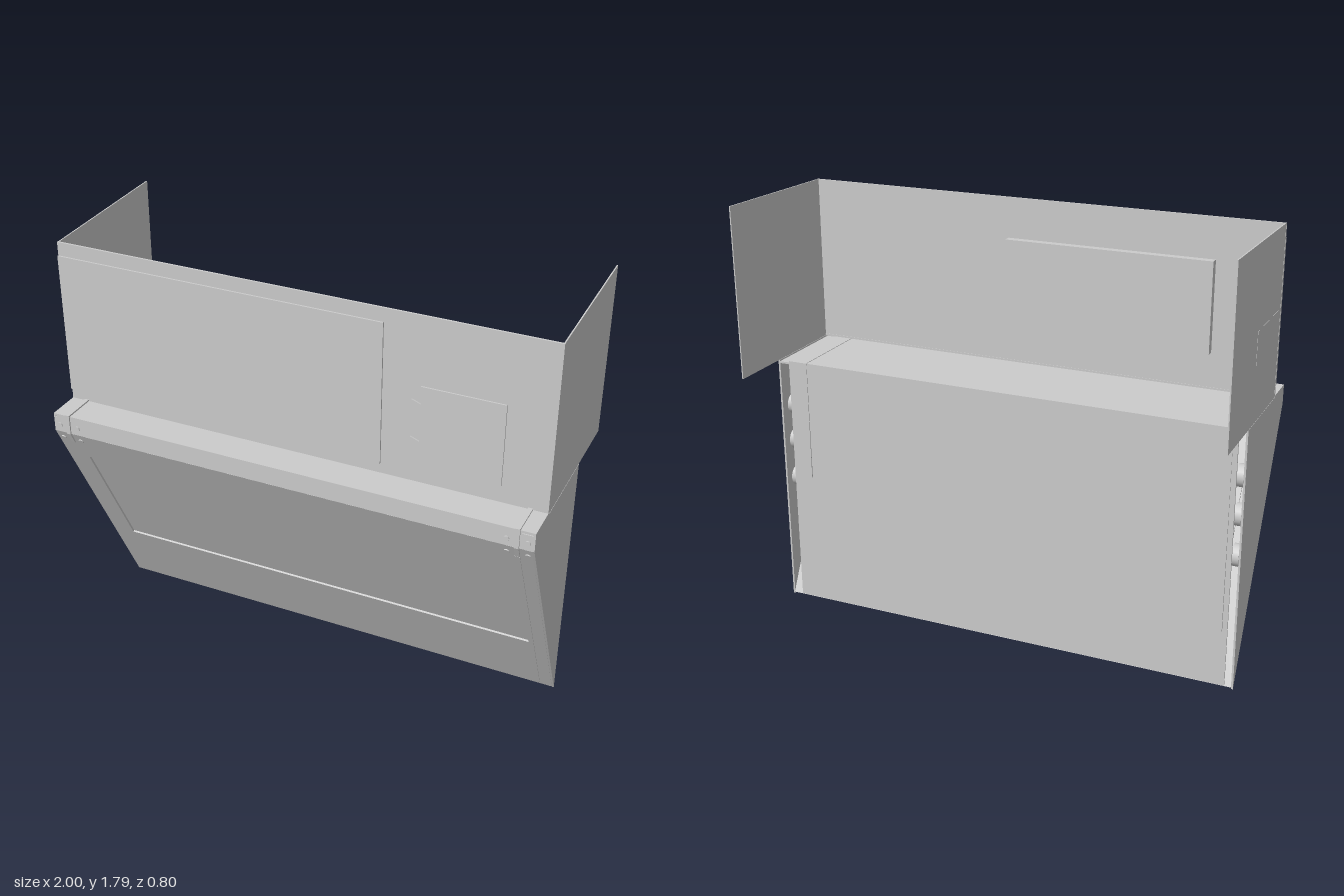
import * as THREE from 'three';

export function createModel() {
  const model = new THREE.Group();
  const mat = new THREE.MeshStandardMaterial({ color: 0xcccccc, side: THREE.DoubleSide });

  const add = (name, geo, parent = model) => {
    const mesh = new THREE.Mesh(geo, mat);
    mesh.name = name;
    parent.add(mesh);
    return mesh;
  };
  // box given by its limits on each axis
  const box = (name, x0, x1, y0, y1, z0, z1, parent) => {
    const m = add(name, new THREE.BoxGeometry(x1 - x0, y1 - y0, z1 - z0), parent);
    m.position.set((x0 + x1) / 2, (y0 + y1) / 2, (z0 + z1) / 2);
    return m;
  };
  // side profile of [z, y] points, extruded across x
  const profile = (name, pts, x0, x1) => {
    const shape = new THREE.Shape(pts.map(([z, y]) => new THREE.Vector2(-z, y)));
    const geo = new THREE.ExtrudeGeometry(shape, { depth: x1 - x0, bevelEnabled: false });
    geo.rotateY(Math.PI / 2).translate(x0, 0, 0);
    return add(name, geo);
  };
  const rect = (Type, x0, x1, y0, y1) => {
    const s = new Type();
    s.moveTo(x0, y0).lineTo(x1, y0).lineTo(x1, y1).lineTo(x0, y1).closePath();
    return s;
  };

  // upper screen: front wall with two wings reaching back
  box('upperFrontWall', -1, 1, 1.09, 1.775, 0.252, 0.26);
  for (const x of [-0.999, 0.994]) {
    profile('upperWing', [[0.26, 1.09], [0.26, 1.775], [-0.398, 1.79], [-0.39, 1.09]], x, x + 0.005);
  }
  box('frontLedge', -1, 1, 1.088, 1.098, 0.25, 0.4);

  // thin panels and the box behind the wall
  box('largeFrontPanel', -1, 0.35, 1.14, 1.72, 0.26, 0.267);
  box('smallDoor', 0.5, 0.82, 1.17, 1.5, 0.26, 0.266);
  for (const y of [1.26, 1.415]) {
    const tab = new THREE.Shape();
    tab.moveTo(0.465, y - 0.027).lineTo(0.5, y - 0.014).lineTo(0.5, y + 0.014).lineTo(0.465, y + 0.027).closePath();
    add('doorHingeTab', new THREE.ExtrudeGeometry(tab, { depth: 0.006, bevelEnabled: false })).position.z = 0.26;
  }
  box('rearRecessBox', -0.74, 0.12, 1.24, 1.61, 0.22, 0.254);
  box('wingPlate', -1, -0.998, 1.31, 1.45, -0.07, 0.22);

  // wedge-shaped lower body
  const wedge = [[0.4, 1.09], [0.4, 1.02], [-0.112, 0], [-0.122, 1.09]];
  for (const x of [-1, 0.992]) profile('wedgeSide', wedge, x, x + 0.008);
  profile('backPanel', [[-0.11, 0.01], [-0.116, 0.01], [-0.122, 1.09], [-0.114, 1.09]], -0.965, 0.95);
  box('topPanel', -0.985, 0.95, 1.08, 1.09, -0.122, 0.4);
  box('topEndStrip', 0.95, 0.992, 1.076, 1.084, -0.122, 0.4);
  box('frontLip', -0.992, 0.992, 1.02, 1.085, 0.39, 0.4);

  // sloping front with a shallow recess
  const slope = new THREE.Group();
  slope.name = 'slopingFront';
  slope.position.z = -0.11;
  slope.rotation.x = Math.atan2(0.51, 1.02);
  model.add(slope);
  const face = rect(THREE.Shape, -0.992, 0.992, 0.005, 1.14);
  face.holes.push(rect(THREE.Path, -0.9, 0.92, 0.38, 0.983));
  add('frontPanel', new THREE.ExtrudeGeometry(face, { depth: 0.008, bevelEnabled: false }), slope).position.z = -0.008;
  box('recessFloor', -0.9, 0.92, 0.38, 0.983, -0.014, -0.008, slope);
  box('frontRib', 0.922, 0.942, 0.02, 1.08, -0.002, 0.003, slope);

  // strap brackets with bolts at both ends of the lip
  for (const s of [-1, 1]) {
    profile('strap', [[0.26, 1.098], [0.26, 1.104], [0.406, 1.104], [0.406, 1.02], [0.382, 0.97], [0.376, 0.97], [0.398, 1.02], [0.398, 1.098]],
      s * 0.934 - 0.009, s * 0.934 + 0.009);
    for (const dx of [-0.04, 0.04]) {
      for (const [y, z] of [[1.05, 0.4], [0.985, 0.382]]) {
        const bolt = add('bolt', new THREE.CylinderGeometry(0.011, 0.011, 0.01, 12));
        bolt.position.set(s * 0.934 + dx, y, z);
        bolt.rotation.x = Math.PI / 2 + (y < 1 ? slope.rotation.x : 0);
      }
    }
    // rollers inside the open end slots
    for (const y of [0.55, 0.72, 0.88]) {
      const roller = add('innerRoller', new THREE.CylinderGeometry(0.045, 0.045, 0.03, 20));
      roller.position.set(s * 0.97, y, -0.05);
      roller.rotation.z = Math.PI / 2;
    }
  }

  // narrow strips on the back and top
  box('backStrip', 0.865, 0.872, 0.58, 1.09, -0.124, -0.118);
  box('backStrip', -0.945, -0.938, 0.25, 1.09, -0.124, -0.114);
  box('topStrip', 0.865, 0.872, 1.088, 1.092, -0.122, 0.25);

  return model;
}
